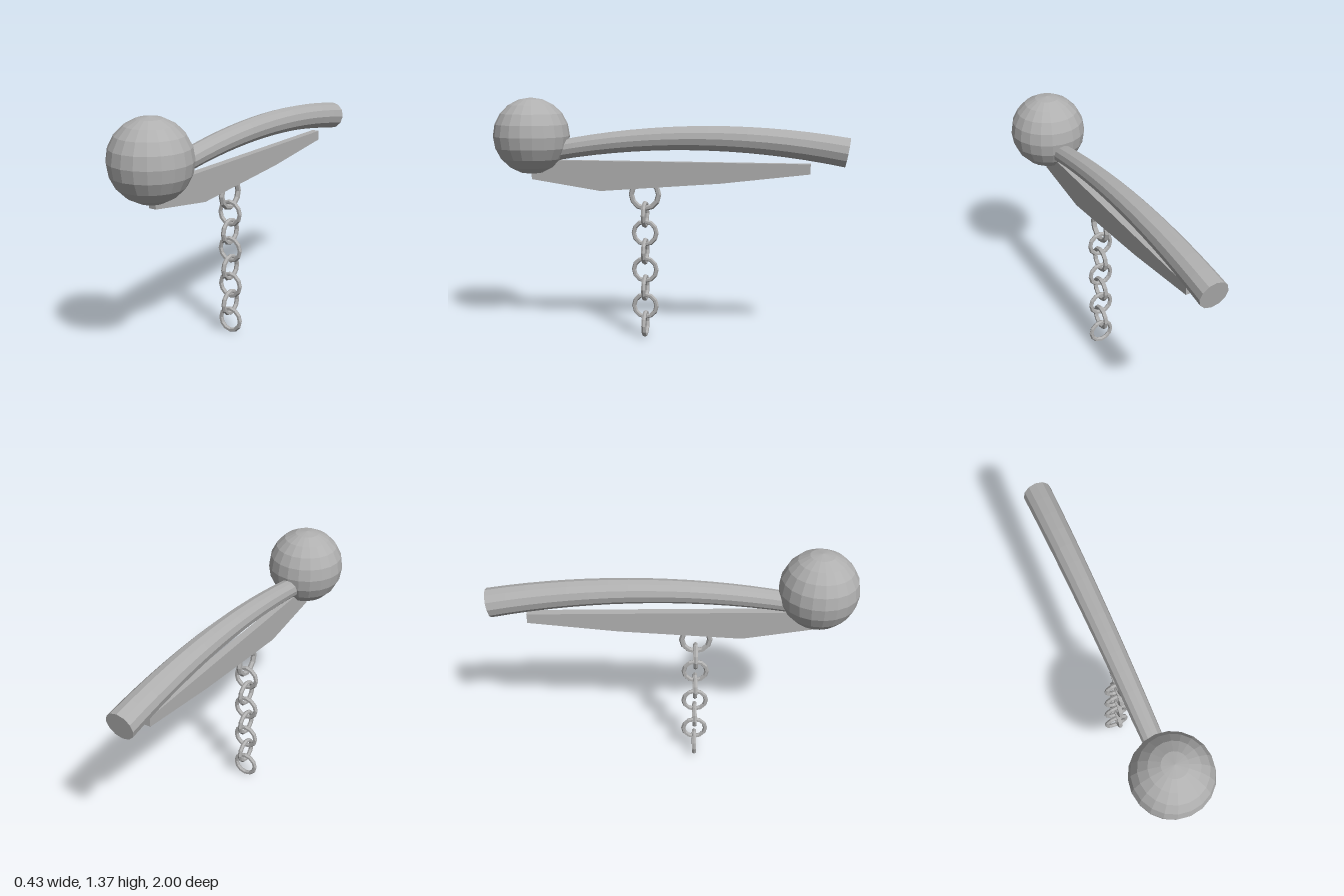
import * as THREE from 'three';

export function createModel() {
  const group = new THREE.Group();
  const metal = new THREE.MeshStandardMaterial({ color: 0xb0b0b0, flatShading: true });
  metal.name = 'grey metal';

  const add = (name, geometry) => {
    const mesh = new THREE.Mesh(geometry, metal);
    mesh.name = name;
    group.add(mesh);
    return mesh;
  };

  // Round knob at the front
  add('ball', new THREE.SphereGeometry(0.217, 20, 10)).position.set(0, 1.15, 0.783);

  // Tapered handle, bent along a shallow arch
  const zBack = -0.987, zFront = 0.74;
  const handle = new THREE.CylinderGeometry(0.053, 0.08, zFront - zBack, 12, 16);
  handle.rotateX(Math.PI / 2).translate(0, 0, (zFront + zBack) / 2);
  const p = handle.attributes.position;
  for (let i = 0; i < p.count; i++) {
    const z = p.getZ(i), h = p.getY(i);
    const slope = -0.224 * (z + 0.2);
    const len = Math.hypot(1, slope);
    p.setY(i, 1.148 - 0.112 * (z + 0.2) ** 2 + h / len);
    p.setZ(i, z - (h * slope) / len);
  }
  handle.computeVertexNormals();
  add('handle', handle);

  // Flat blade under the handle, profile given as (z, y)
  const profile = [[-0.79, 0.96], [-0.3, 0.9], [0.38, 0.845], [0.78, 0.905], [0.79, 1.015], [-0.79, 1.015]];
  const blade = new THREE.ExtrudeGeometry(
    new THREE.Shape(profile.map(([z, y]) => new THREE.Vector2(z, y))),
    { depth: 0.044, bevelEnabled: false }
  );
  blade.translate(0, 0, -0.022).rotateY(-Math.PI / 2);
  add('blade', blade);

  // Hanging chain: a larger top ring, then links turned alternately
  const ring = add('topRing', new THREE.TorusGeometry(0.078, 0.0155, 6, 12));
  ring.position.set(0, 0.828, 0.128);
  ring.rotation.y = Math.PI / 2;

  const linkShape = new THREE.TorusGeometry(0.065, 0.013, 6, 12);
  for (let i = 0; i < 7; i++) {
    const link = add('chainLink' + (i + 1), linkShape);
    link.position.set(0, 0.079 + i * 0.106, 0.128);
    link.rotation.y = i % 2 ? Math.PI / 2 : 0;
  }
  return group;
}
